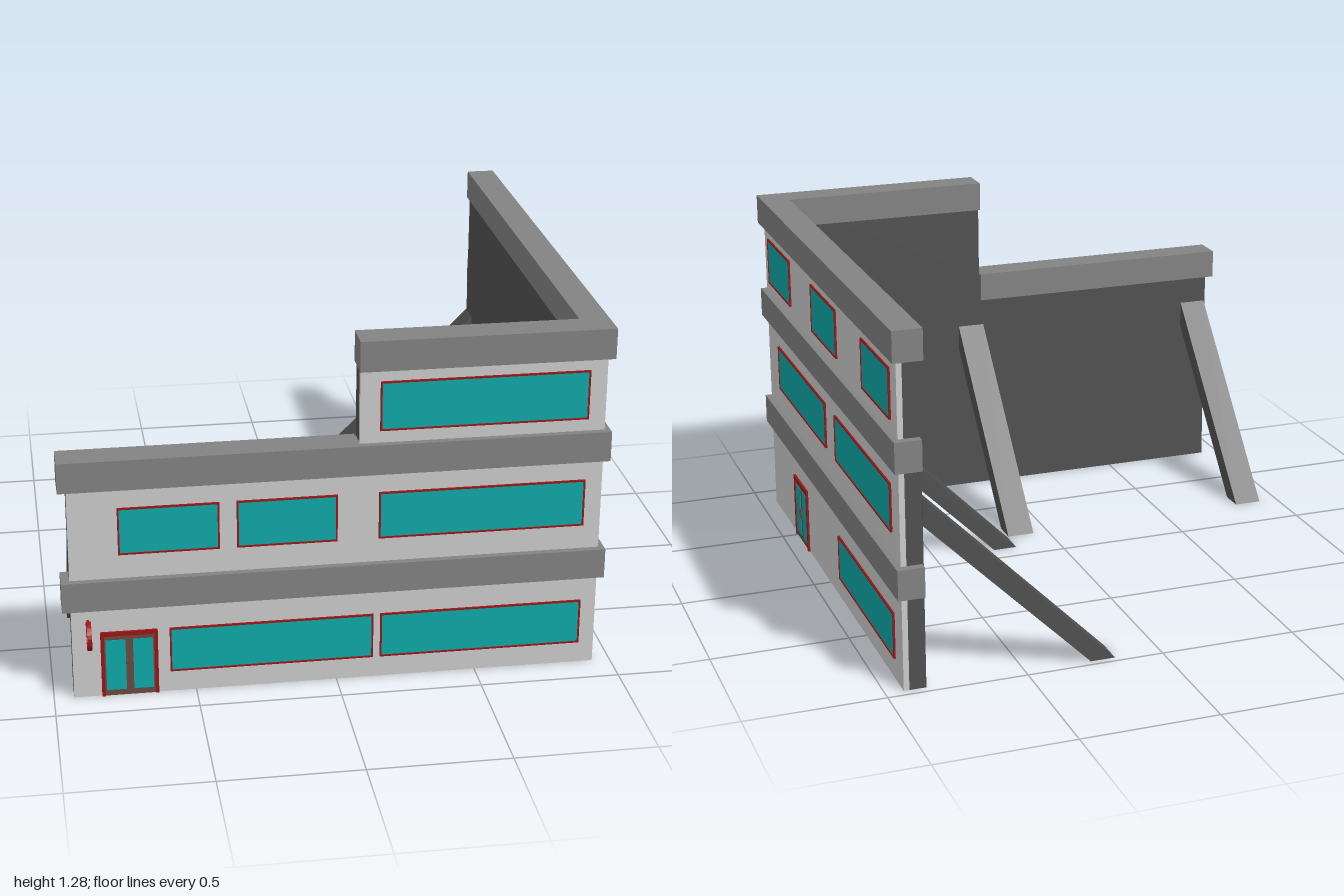
import * as THREE from 'three';

const mat = (color) => new THREE.MeshStandardMaterial({ color, flatShading: true });

export function createModel() {
  const model = new THREE.Group();
  const facadeMat = mat(0xcccccc), bandMat = mat(0x828282), darkMat = mat(0x505050);
  const glassMat = mat(0x0fa8a8), redMat = mat(0x9c1414), doorMat = mat(0x6b4a42);

  function add(parent, name, geometry, material, x = 0, y = 0, z = 0) {
    const mesh = new THREE.Mesh(geometry, material);
    mesh.name = name;
    mesh.position.set(x, y, z);
    parent.add(mesh);
    return mesh;
  }

  // box given by its two opposite corners
  function box(parent, name, material, x0, x1, y0, y1, z0, z1) {
    return add(parent, name, new THREE.BoxGeometry(x1 - x0, y1 - y0, z1 - z0), material,
      (x0 + x1) / 2, (y0 + y1) / 2, (z0 + z1) / 2);
  }

  // L-shaped run: along the front to the corner, then back along the +x side
  function corner(name, material, y0, y1, xStart, zBack, xOut, zOut, xIn, zIn) {
    const shape = new THREE.Shape([
      [xStart, zOut], [xOut, zOut], [xOut, zBack], [xIn, zBack], [xIn, zIn], [xStart, zIn],
    ].map(([x, z]) => new THREE.Vector2(x, -z)));
    const geo = new THREE.ExtrudeGeometry(shape, { depth: y1 - y0, bevelEnabled: false });
    geo.rotateX(-Math.PI / 2);
    add(model, name, geo, material, 0, y0, 0);
  }

  // dark backing walls with a lighter skin on the street sides
  for (const [level, x, y0, y1] of [['lower', -0.93, 0, 0.9], ['upper', 0.075, 0.9, 1.27]]) {
    corner(level + 'Wall', darkMat, y0, y1, x, -0.97, 0.915, 0.86, 0.855, 0.8);
    corner(level + 'Facade', facadeMat, y0, y1, x, -0.97, 0.935, 0.88, 0.915, 0.86);
  }

  // projecting bands and caps
  corner('lowerBand', bandMat, 0.345, 0.455, -0.96, -1, 0.955, 0.905, 0.86, 0.805);
  corner('middleBand', bandMat, 0.795, 0.905, -0.96, -1, 0.955, 0.905, 0.86, 0.805);
  box(model, 'lowRoofCap', bandMat, -0.96, 0.07, 0.795, 0.905, 0.79, 0.9);
  corner('roofCap', bandMat, 1.175, 1.285, 0.07, -1, 0.955, 0.905, 0.85, 0.79);

  // the two street faces; local x runs along the face, local z points outward
  const front = new THREE.Group();
  front.name = 'frontOpenings';
  front.position.z = 0.88;
  const side = new THREE.Group();
  side.name = 'sideOpenings';
  side.position.x = 0.935;
  side.rotation.y = Math.PI / 2;
  model.add(front, side);

  function rect(Type, x0, x1, y0, y1) {
    return new Type([[x0, y0], [x1, y0], [x1, y1], [x0, y1]].map((p) => new THREE.Vector2(...p)));
  }

  function frame(parent, name, x0, x1, y0, y1, t) {
    const shape = rect(THREE.Shape, x0, x1, y0, y1);
    shape.holes.push(rect(THREE.Path, x0 + t, x1 - t, y0 + t, y1 - t));
    add(parent, name, new THREE.ExtrudeGeometry(shape, { depth: 0.007, bevelEnabled: false }), redMat);
  }

  function windowUnit(parent, x0, x1, y0, y1) {
    frame(parent, 'windowFrame', x0, x1, y0, y1, 0.006);
    box(parent, 'windowGlass', glassMat, x0 + 0.005, x1 - 0.005, y0 + 0.005, y1 - 0.005, -0.002, 0.004);
  }

  function door(parent, cx) {
    const g = new THREE.Group();
    g.name = 'doubleDoor';
    g.position.x = cx;
    parent.add(g);
    box(g, 'doorLeaves', doorMat, -0.09, 0.09, 0, 0.235, -0.002, 0.003);
    box(g, 'doorHeader', redMat, -0.1, 0.1, 0.235, 0.25, 0, 0.009);
    for (const s of [-1, 1]) {
      add(g, 'doorJamb', new THREE.BoxGeometry(0.012, 0.235, 0.008), redMat, s * 0.094, 0.1175, 0.004);
      add(g, 'doorGlass', new THREE.BoxGeometry(0.07, 0.195, 0.006), glassMat, s * 0.048, 0.12, 0.002);
      add(g, 'doorHandle', new THREE.BoxGeometry(0.008, 0.04, 0.008), doorMat, s * 0.009, 0.12, 0.006);
    }
  }

  const ground = [0.08, 0.25], first = [0.545, 0.72], second = [0.95, 1.13];
  for (const [x0, x1, row] of [
    [-0.59, 0.13, ground], [0.155, 0.88, ground],
    [-0.76, -0.41, first], [-0.35, 0, first], [0.145, 0.875, first],
    [0.145, 0.875, second],
  ]) windowUnit(front, x0, x1, ...row);
  for (const [x0, x1, row] of [
    [0.155, 0.88, ground],
    [-0.705, 0.02, first], [0.155, 0.88, first],
    [-0.815, -0.465, second], [-0.135, 0.215, second], [0.555, 0.9, second],
  ]) windowUnit(side, x0, x1, ...row);
  door(front, -0.732);
  door(side, -0.415);

  // round hanging sign on two brackets
  const sign = new THREE.Group();
  sign.name = 'hangingSign';
  sign.position.set(-0.873, 0.275, 0.95);
  model.add(sign);
  const disc = add(sign, 'signDisc', new THREE.CylinderGeometry(0.043, 0.043, 0.01, 24), facadeMat);
  disc.rotation.z = Math.PI / 2;
  const ring = new THREE.Shape().absarc(0, 0, 0.05, 0, Math.PI * 2);
  ring.holes.push(new THREE.Path().absarc(0, 0, 0.041, 0, Math.PI * 2, true));
  const rim = new THREE.ExtrudeGeometry(ring, { depth: 0.016, bevelEnabled: false, curveSegments: 12 });
  rim.translate(0, 0, -0.008).rotateY(Math.PI / 2);
  add(sign, 'signRim', rim, redMat);
  for (const y of [-0.022, 0.022]) {
    add(sign, 'signBracket', new THREE.BoxGeometry(0.008, 0.008, 0.03), redMat, 0, y, -0.056);
  }

  // sloping braces behind the walls: local x runs away from the wall
  function brace(name, run, x, z, turn) {
    const shape = new THREE.Shape([[0, 0.59], [run - 0.09, 0], [run, 0], [0, 0.69]]
      .map((p) => new THREE.Vector2(...p)));
    const geo = new THREE.ExtrudeGeometry(shape, { depth: 0.105, bevelEnabled: false });
    geo.translate(0, 0, -0.0525);
    add(model, name, geo, darkMat, x, 0, z).rotation.y = turn;
  }
  for (const x of [-0.872, 0.112]) brace('frontWallBrace', 0.61, x, 0.8, Math.PI / 2);
  for (const z of [0.133, -0.922]) brace('sideWallBrace', 0.685, 0.855, z, Math.PI);

  return model;
}
